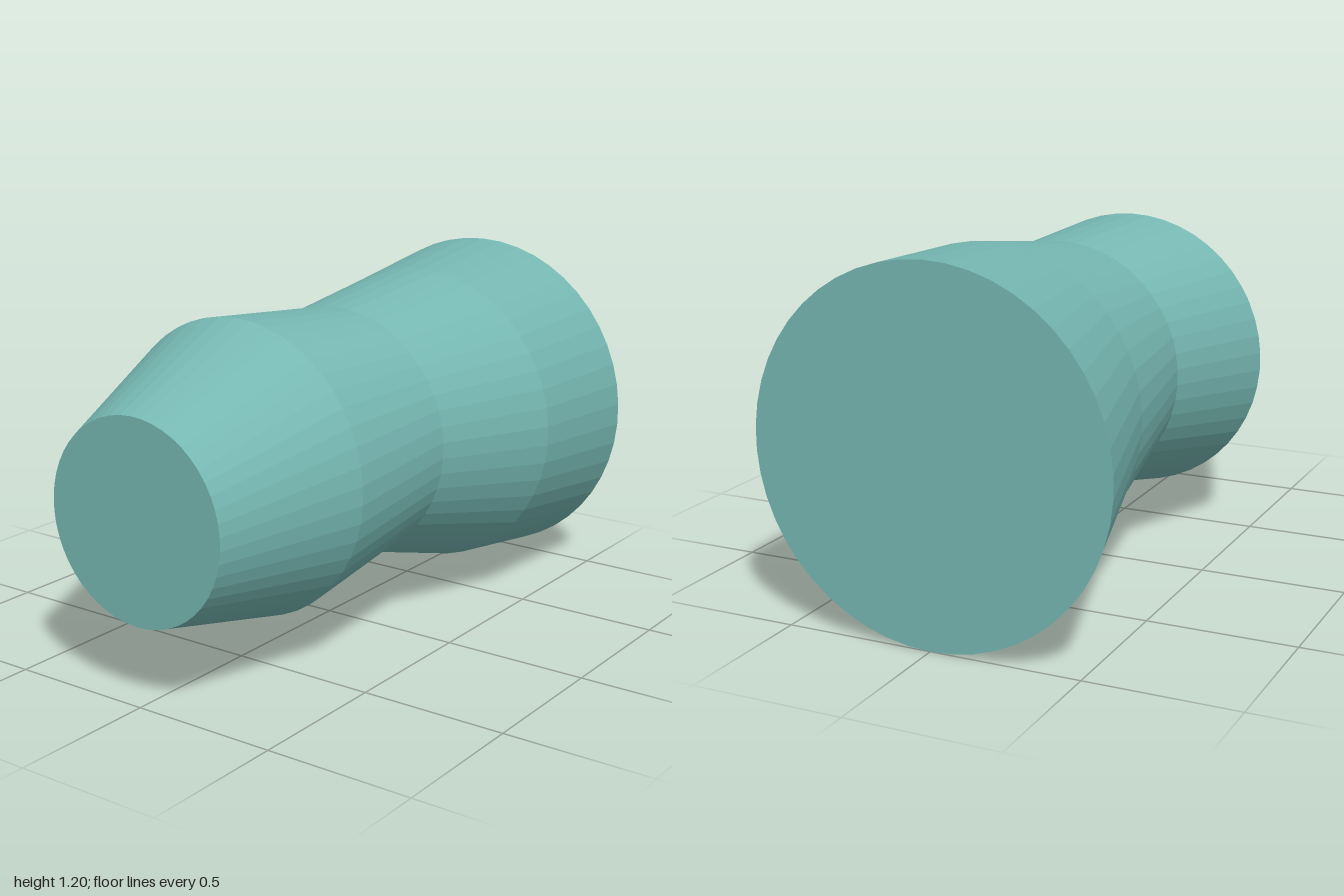
import * as THREE from 'three';

// Circular cross-sections from front (+z) to back: z, centre x, centre y, radius
const SECTIONS = [
  { z: 1, x: 0, y: 0.6, r: 0.333 },
  { z: 0.467, x: -0.034, y: 0.635, r: 0.499 },
  { z: 0, x: 0.031, y: 0.669, r: 0.431 },
  { z: -0.467, x: 0.066, y: 0.636, r: 0.531 },
  { z: -1, x: 0, y: 0.6, r: 0.6 },
];
const SIDES = 50;

// Capped unit cylinder along z whose rings are moved and scaled to the sections
function loftCircles(sections, sides) {
  const spans = sections.length - 1;
  const geometry = new THREE.CylinderGeometry(1, 1, spans, sides, spans);
  geometry.rotateX(Math.PI / 2);
  const p = geometry.attributes.position;
  for (let i = 0; i < p.count; i++) {
    const s = sections[Math.round(spans / 2 - p.getZ(i))];
    p.setXYZ(i, s.x + p.getX(i) * s.r, s.y + p.getY(i) * s.r, s.z);
  }
  geometry.computeVertexNormals();
  return geometry;
}

export function createModel() {
  const group = new THREE.Group();
  group.name = 'loftedTube';

  // Solid body with a flat cap at each end
  const material = new THREE.MeshStandardMaterial({ color: 0x76b7b2, flatShading: true });
  const body = new THREE.Mesh(loftCircles(SECTIONS, SIDES), material);
  body.name = 'body';
  group.add(body);

  return group;
}
